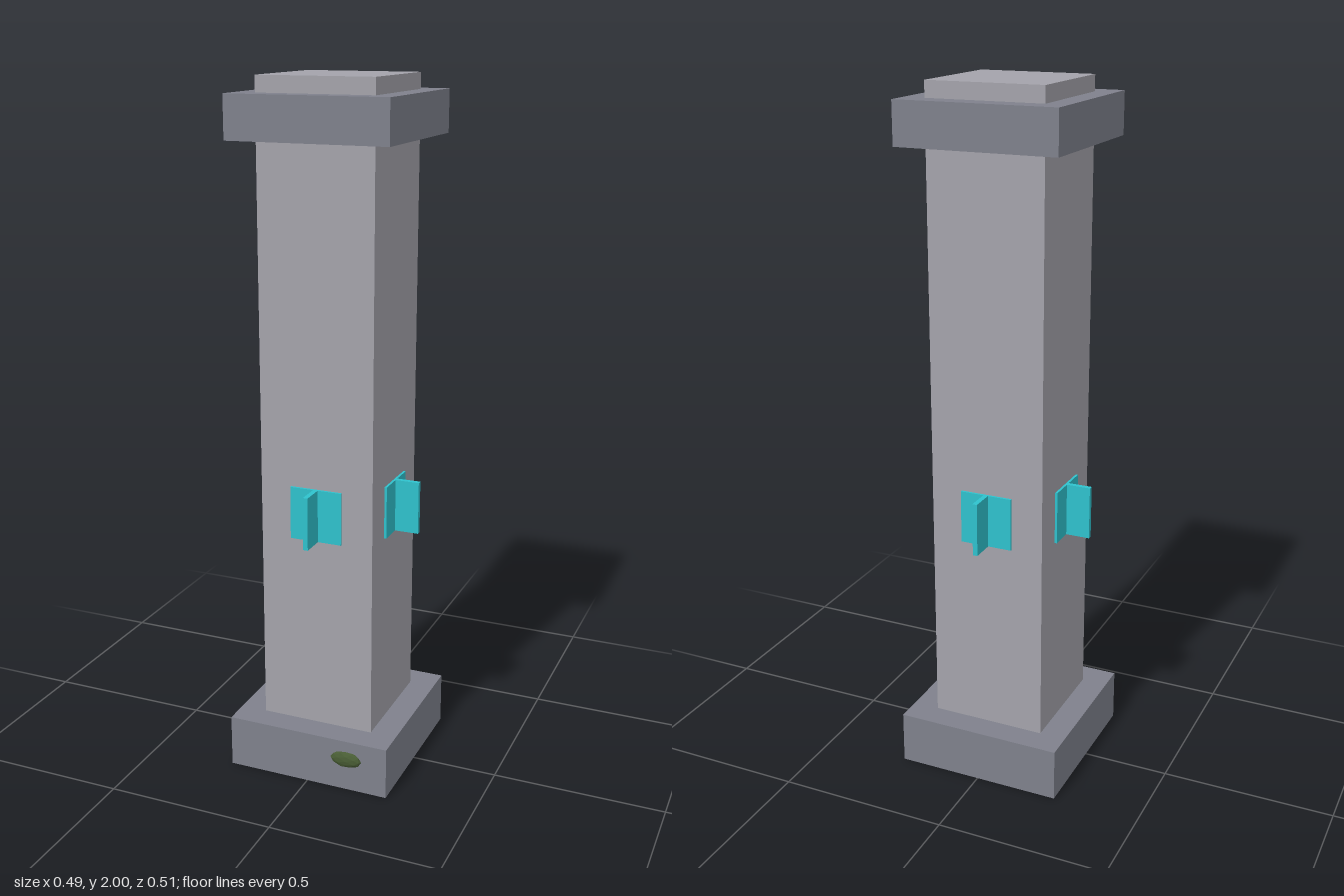
import * as THREE from 'three';

export function createModel() {
  const model = new THREE.Group();
  model.name = 'squarePillar';
  const mat = (name, color) => {
    const m = new THREE.MeshStandardMaterial({ color });
    m.name = name;
    return m;
  };
  const paleStone = mat('paleStone', 0xa4a3ab);
  const darkStone = mat('darkStone', 0x7f818c);
  const cyan = mat('cyanCrystal', 0x2fc2cd);
  const mossGreen = mat('mossGreen', 0x485c34);

  // the moss sticks out in front, so the column sits slightly back
  const column = new THREE.Group();
  column.name = 'column';
  column.position.z = -0.0065;
  model.add(column);

  const box = (name, material, w, h, d, x, y, z, parent) => {
    const mesh = new THREE.Mesh(new THREE.BoxGeometry(w, h, d), material);
    mesh.name = name;
    mesh.position.set(x, y, z);
    parent.add(mesh);
    return mesh;
  };

  // stone body
  box('base', darkStone, 0.492, 0.154, 0.492, 0, 0.077, 0, column);
  box('shaft', paleStone, 0.338, 1.998, 0.338, 0, 1.001, 0, column);
  box('capital', darkStone, 0.463, 0.12, 0.463, 0, 1.895, 0, column);

  // crossed plates half sunk into each of the four faces
  const size = 0.154, thick = 0.014;
  for (let i = 0; i < 4; i++) {
    const marker = new THREE.Group();
    marker.name = 'crossedPlates';
    marker.rotation.y = (i * Math.PI) / 2;
    box('wallPlate', cyan, size, size, thick, 0, 0.804, 0.169, marker);
    box('fin', cyan, thick, size, size, 0, 0.804, 0.169, marker);
    column.add(marker);
  }

  // flattened lump of moss on the front of the base
  const lump = new THREE.IcosahedronGeometry(1, 1);
  const p = lump.attributes.position;
  for (let i = 0; i < p.count; i++) {
    const x = p.getX(i), y = p.getY(i), z = p.getZ(i);
    const bump = 1 + 0.06 * Math.sin(7 * x + 4 * y);
    p.setXYZ(i, x * 0.048 + z * 0.004, Math.max(-0.85, y * bump) * 0.025, z * 0.0135);
  }
  lump.computeVertexNormals();
  const moss = new THREE.Mesh(lump, mossGreen);
  moss.name = 'mossPatch';
  moss.position.set(0.122, 0.097, 0.2395);
  model.add(moss);

  return model;
}
